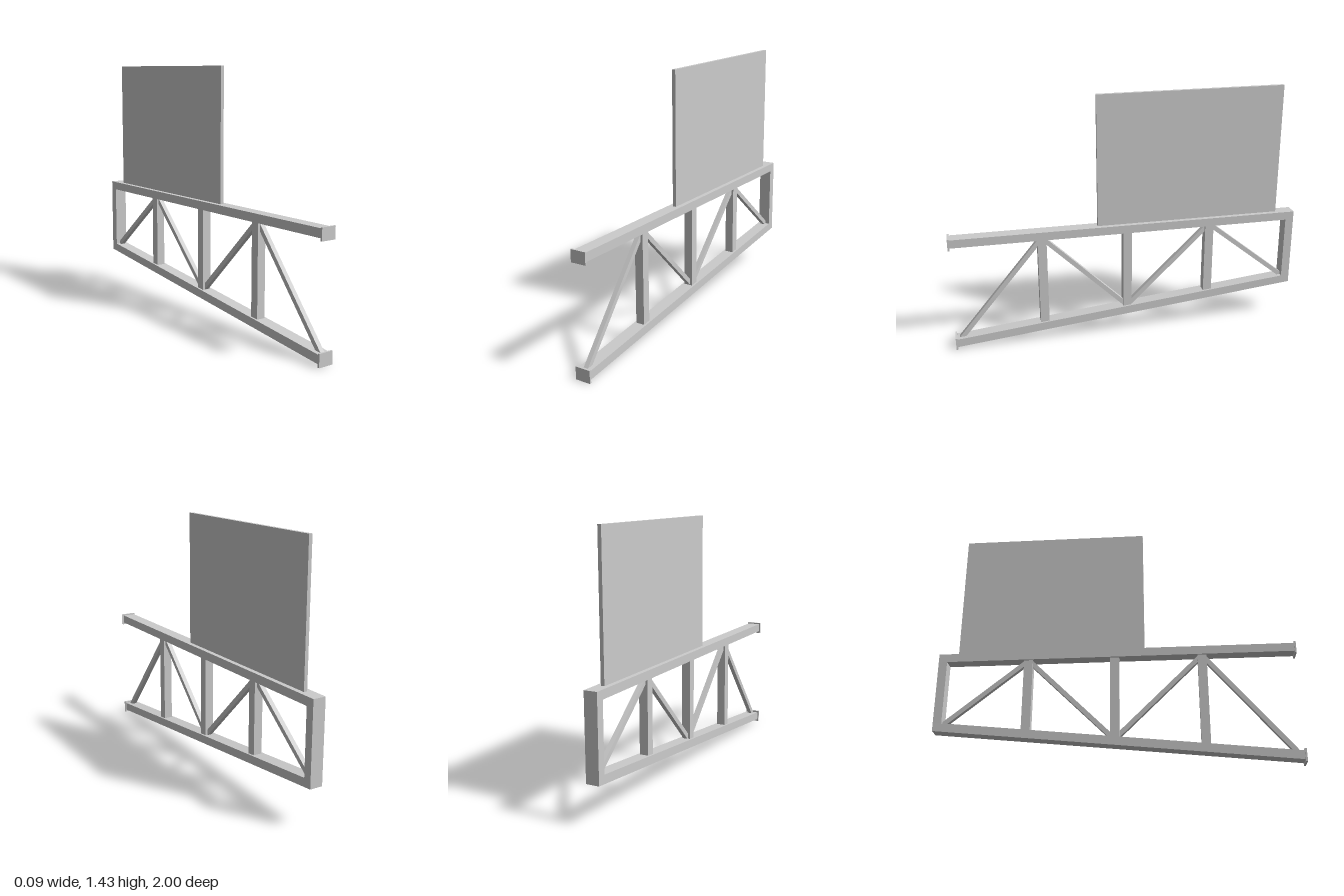
import * as THREE from 'three';

export function createModel() {
  const group = new THREE.Group();
  group.name = 'trussWithPanel';
  const material = new THREE.MeshStandardMaterial({ color: 0xcccccc, flatShading: true });

  // Prism from a side outline of [z, y] points, centred on x = 0
  const prism = (name, points, width) => {
    const shape = new THREE.Shape(points.map(([z, y]) => new THREE.Vector2(-z, y)));
    const geometry = new THREE.ExtrudeGeometry(shape, { depth: width, bevelEnabled: false });
    geometry.translate(0, 0, -width / 2).rotateY(Math.PI / 2);
    const mesh = new THREE.Mesh(geometry, material);
    mesh.name = name;
    group.add(mesh);
  };
  const block = (name, z0, z1, y0, y1, width) =>
    prism(name, [[z0, y0], [z1, y0], [z1, y1], [z0, y1]], width);

  // Heights of the sloping lower chord
  const lowerBottom = z => 0.116 - 0.104 * z;
  const lowerTop = z => lowerBottom(z) + 0.048;

  // Chords and end post
  const chordWidth = 0.073;
  block('upperChord', 0.99, -1, 0.629, 0.677, chordWidth);
  prism('lowerChord', [
    [0.99, lowerBottom(0.99)], [-1, lowerBottom(-1)],
    [-1, lowerTop(-1)], [0.99, lowerTop(0.99)],
  ], chordWidth);
  prism('endPost', [
    [-0.952, lowerTop(-0.952)], [-1, lowerTop(-1)], [-1, 0.629], [-0.952, 0.629],
  ], chordWidth);

  // Inner posts, cut to the slope
  for (const z of [0.485, -0.002, -0.488]) {
    const a = z + 0.025, b = z - 0.025;
    prism('post', [[a, lowerTop(a)], [b, lowerTop(b)], [b, 0.629], [a, 0.629]], 0.05);
  }

  // Diagonal braces: z at the lower chord, z at the upper chord
  for (const [zLow, zHigh] of [[0.966, 0.482], [-0.005, 0.488], [-0.002, -0.492], [-0.962, -0.484]]) {
    const low = new THREE.Vector3(0, lowerTop(zLow) - 0.01, zLow);
    const high = new THREE.Vector3(0, 0.637, zHigh);
    const brace = new THREE.Mesh(new THREE.BoxGeometry(0.026, 0.026, low.distanceTo(high)), material);
    brace.name = 'brace';
    brace.position.copy(low).lerp(high, 0.5);
    brace.lookAt(high);
    group.add(brace);
  }

  // Mounting plates on the front ends of the chords
  block('upperPlate', 1, 0.99, 0.617, 0.684, 0.087);
  block('lowerPlate', 1, 0.99, 0, 0.071, 0.087);

  // Upright panel
  block('panel', 0.166, -0.895, 0.677, 1.43, 0.02);

  return group;
}
